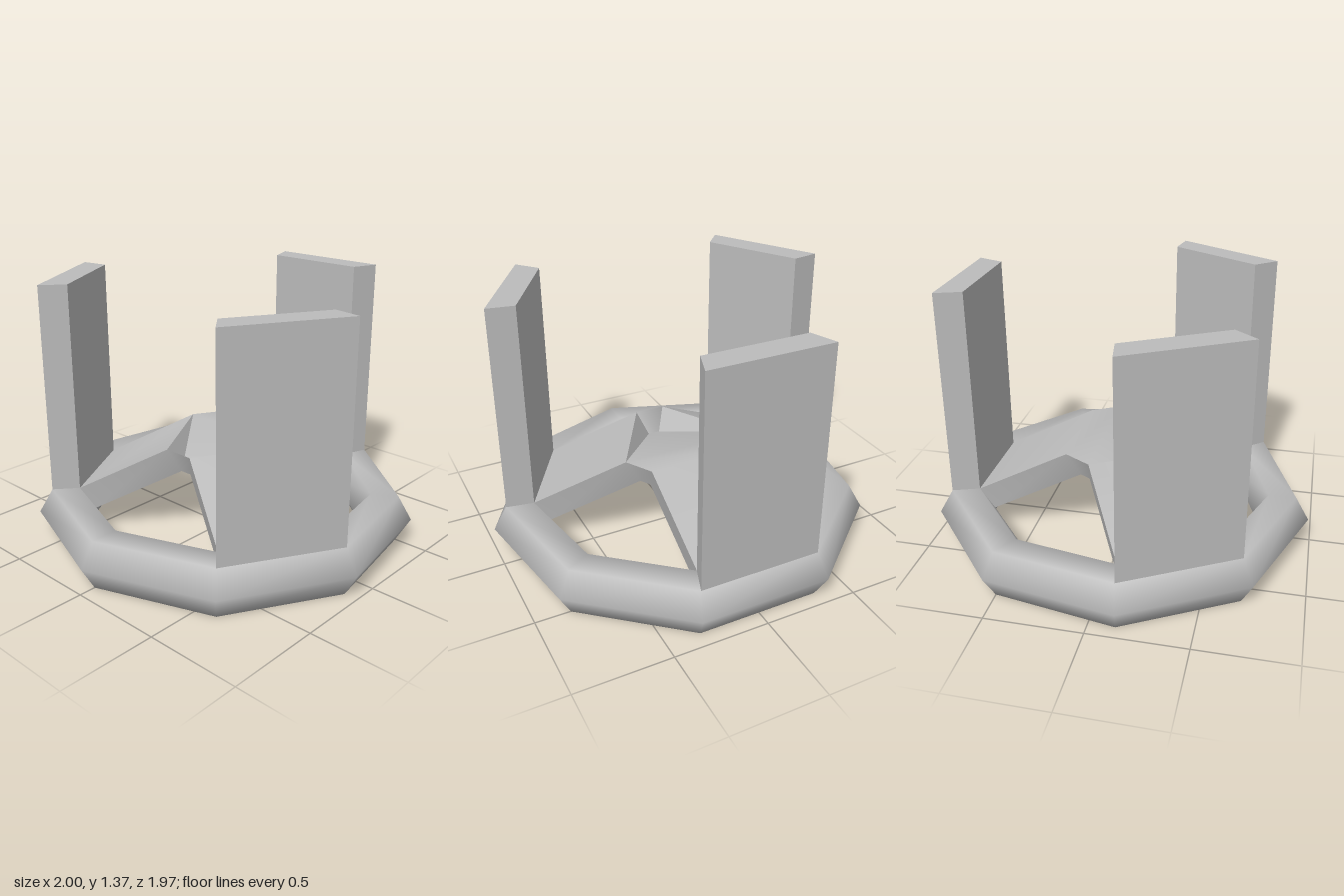
import * as THREE from 'three';
import { toCreasedNormals } from 'three/addons/utils/BufferGeometryUtils.js';

const RING_R = 0.868, TUBE_R = 0.147;      // nine-sided ring with a six-sided tube
const MID_Y = TUBE_R * Math.sin(Math.PI / 3), TOP_Y = MID_Y * 2;
const POST_TOP = 1.37;
const ARM_ANGLES = [60, 180, -60];
const HALF = Math.PI / 9;                  // half the angle of one ring side

// Half width and distance from the axis of a ring side at radius r
const side = (r) => [r * Math.sin(HALF), r * Math.cos(HALF)];

// Turn a point around the vertical axis
const turn = ([x, y, z], deg) =>
  new THREE.Vector3(x, y, z).applyAxisAngle(new THREE.Vector3(0, 1, 0), THREE.MathUtils.degToRad(deg));

export function createModel() {
  const grey = new THREE.MeshStandardMaterial({ color: 0xbcbcbc, side: THREE.DoubleSide });
  grey.name = 'plain grey';
  const model = new THREE.Group();
  model.name = 'threePostStand';
  const add = (geometry, name) => {
    const mesh = new THREE.Mesh(geometry, grey);
    mesh.name = name;
    model.add(mesh);
    return mesh;
  };

  // Base ring, one corner to the front
  const ring = new THREE.TorusGeometry(RING_R, TUBE_R, 6, 9);
  ring.rotateZ(Math.PI / 2).rotateX(Math.PI / 2).translate(0, MID_Y, 0);
  add(ring, 'baseRing');

  // Upright posts rising from the flat top of three ring sides
  const [outW, outZ] = side(RING_R + TUBE_R / 2);
  const [inW, inZ] = side(RING_R - TUBE_R / 2);
  const outline = new THREE.Shape([[-outW, -outZ], [outW, -outZ], [inW, -inZ], [-inW, -inZ]]
    .map(([x, y]) => new THREE.Vector2(x, y)));
  const post = new THREE.ExtrudeGeometry(outline, { depth: POST_TOP - TOP_Y, bevelEnabled: false });
  post.rotateX(-Math.PI / 2).translate(0, TOP_Y, 0);
  for (const deg of ARM_ANGLES) {
    add(post, 'post').rotation.y = THREE.MathUtils.degToRad(deg);
  }

  // Arms and hub are collected as flat polygons, then smoothed together
  const data = [];
  const face = (...p) => {
    for (let i = 1; i < p.length - 1; i++) {
      for (const v of [p[0], p[i], p[i + 1]]) data.push(v.x, v.y, v.z);
    }
  };

  // Arms: four-cornered sections at the ring and at the hub
  const [lowW, lowZ] = side(RING_R - TUBE_R);
  const section = (w, y, z, w2, y2, z2) => [[-w, y, z], [w, y, z], [w2, y2, z2], [-w2, y2, z2]];
  const atRing = section(inW, TOP_Y, inZ, lowW, MID_Y, lowZ);
  const atHub = section(0.27, 0.525, 0.25, 0.247, 0.4, 0.18);
  for (const deg of ARM_ANGLES) {
    const a = atHub.map((p) => turn(p, deg));
    const b = atRing.map((p) => turn(p, deg));
    for (let k = 0; k < 4; k++) face(a[k], b[k], b[(k + 1) % 4], a[(k + 1) % 4]);
  }

  // Hub corners: s is the side of the arm, -1 or 1
  const top = (deg, s) => turn(atHub[s < 0 ? 0 : 1], deg);
  const low = (deg, s) => turn(atHub[s < 0 ? 3 : 2], deg);

  // Hub walls between neighbouring arms, and the underside
  for (const deg of ARM_ANGLES) {
    face(low(deg, 1), low(deg + 120, -1), top(deg + 120, -1), top(deg, 1));
  }
  face(...ARM_ANGLES.flatMap((deg) => [low(deg, -1), low(deg, 1)]).reverse());

  // Hub top: level at the back, a valley falling to the front, sloping cheeks beside it
  face(top(180, 1), top(-60, -1), top(60, 1), top(180, -1));
  face(top(-60, -1), low(-60, 1), low(60, -1), top(60, 1));
  face(top(60, 1), low(60, -1), top(60, -1));
  face(top(-60, -1), top(-60, 1), low(-60, 1));

  const body = new THREE.BufferGeometry();
  body.setAttribute('position', new THREE.Float32BufferAttribute(data, 3));
  add(toCreasedNormals(body, 0.8), 'armsAndHub');

  // Centre the nine-sided footprint front to back
  model.position.z = -(RING_R + TUBE_R) * (1 - Math.cos(HALF)) / 2;
  return model;
}
